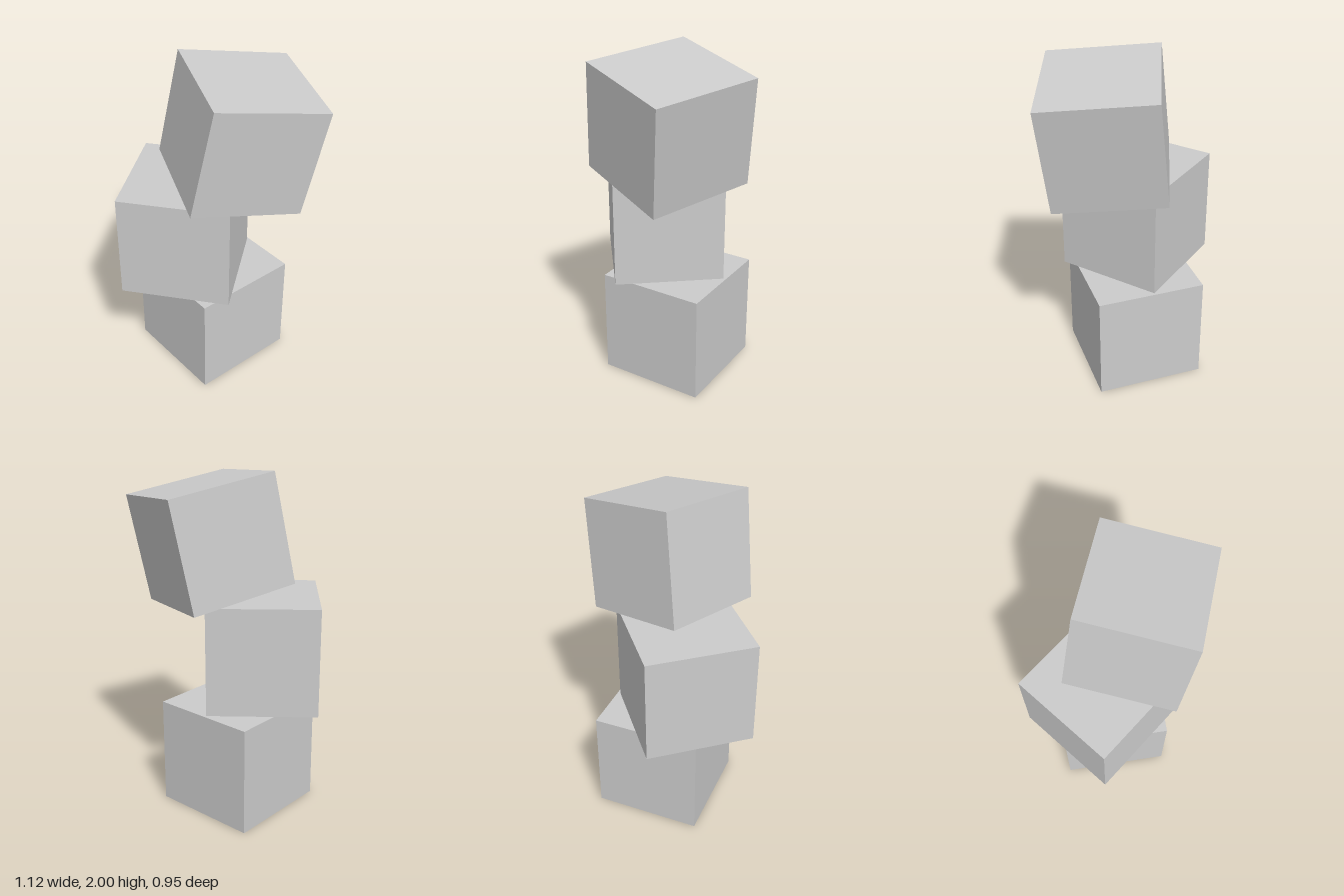
import * as THREE from 'three';

const SIZE = 0.64;

export function createModel() {
  const group = new THREE.Group();
  const material = new THREE.MeshStandardMaterial({ color: 0xcccccc, flatShading: true });
  const geometry = new THREE.BoxGeometry(SIZE, SIZE, SIZE);

  // One block, placed by its centre and turned by pitch, yaw and roll in degrees
  function addBlock(name, position, angles) {
    const block = new THREE.Mesh(geometry, material);
    block.name = name;
    block.position.set(...position);
    block.rotation.set(...angles.map(THREE.MathUtils.degToRad), 'YXZ');
    group.add(block);
  }

  // Two level blocks, then one tipped on top
  addBlock('bottomBlock', [0.0125, 0.32, -0.0375], [0, 30, 0]);
  addBlock('middleBlock', [-0.147, 0.96, -0.021], [0, -21, 0]);
  addBlock('topBlock', [0.1425, 1.604, 0.092], [5, 8, -10]);

  return group;
}
